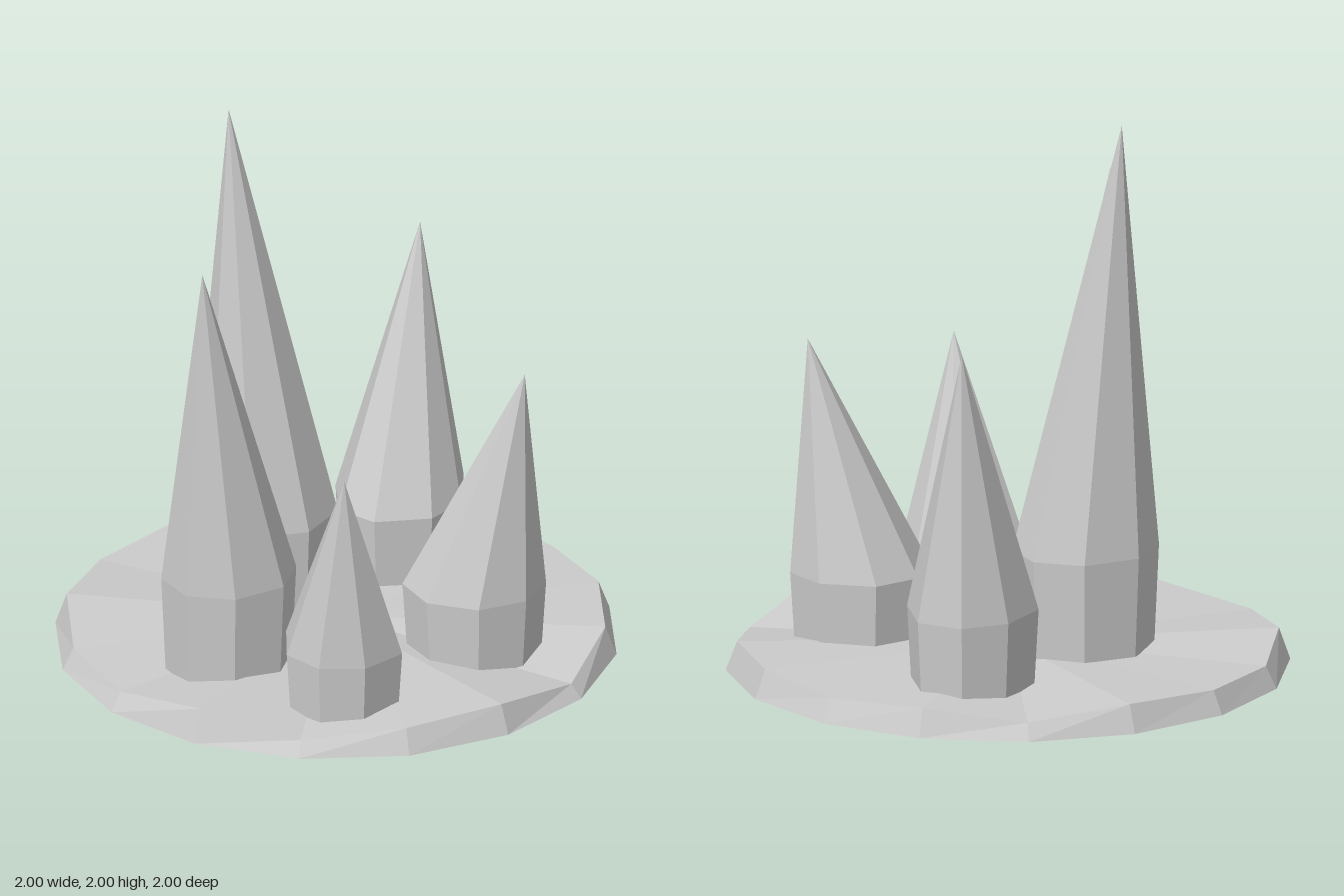
import * as THREE from 'three';

const material = new THREE.MeshStandardMaterial({ color: 0xcccccc, flatShading: true });

// Skin rings of [x, y, z] corners from bottom to top, closed by a tip and a flat underside.
function loft(name, rings, tip, bottom) {
  const pos = [];
  const tri = (...corners) => corners.forEach((c) => pos.push(...c));
  const n = rings[0].length;
  for (let i = 0; i < n; i++) {
    const j = (i + 1) % n;
    tri(rings[0][i], rings[0][j], bottom);
    for (let k = 0; k < rings.length - 1; k++) {
      const lo = rings[k], hi = rings[k + 1];
      tri(lo[i], hi[i], lo[j]);
      tri(hi[i], hi[j], lo[j]);
    }
    const top = rings[rings.length - 1];
    tri(top[i], tip, top[j]);
  }
  const geometry = new THREE.BufferGeometry();
  geometry.setAttribute('position', new THREE.Float32BufferAttribute(pos, 3));
  geometry.computeVertexNormals();
  const mesh = new THREE.Mesh(geometry, material);
  mesh.name = name;
  return mesh;
}

// Round slab with an uneven rim
function rockBase() {
  const rimHeights = [0.085, 0.105, 0.105, 0.05, 0.105, 0.09, 0.055, 0.12,
    0.07, 0.08, 0.115, 0.08, 0.085, 0.1, 0.06, 0.1];
  const ring = (r, height) => rimHeights.map((h, i) => {
    const a = (i / rimHeights.length) * Math.PI * 2;
    return [r * Math.cos(a), height(h), r * Math.sin(a)];
  });
  return loft('rockBase', [ring(1, () => 0), ring(0.96, (h) => h)], [0, 0.09, 0], [0, 0, 0]);
}

// Eight-sided spike: slightly narrower foot, widest at the shoulder, leaning tip
function crystal({ name, tip, shoulder, outline }) {
  const n = outline.length;
  const cx = outline.reduce((s, p) => s + p[0], 0) / n;
  const cz = outline.reduce((s, p) => s + p[1], 0) / n;
  const foot = 0.04;
  const ring = (y, s) => outline.map(([x, z]) => [cx + (x - cx) * s, y, cz + (z - cz) * s]);
  return loft(name, [ring(foot, 0.93), ring(shoulder, 1)], tip, [cx, foot, cz]);
}

// Shoulder outlines are [x, z] corners
const crystals = [
  { name: 'tallCrystal', tip: [-0.21, 2, -0.35], shoulder: 0.45,
    outline: [[-0.14, -0.49], [0.06, -0.41], [0.14, -0.24], [0.07, -0.08],
      [-0.12, 0], [-0.31, -0.08], [-0.38, -0.25], [-0.33, -0.42]] },
  { name: 'rightCrystal', tip: [-0.68, 1.66, 0.11], shoulder: 0.43,
    outline: [[-0.58, -0.17], [-0.4, -0.16], [-0.28, -0.02], [-0.3, 0.16],
      [-0.44, 0.27], [-0.64, 0.25], [-0.76, 0.12], [-0.74, -0.05]] },
  { name: 'frontRightCrystal', tip: [-0.47, 1, 0.66], shoulder: 0.28,
    outline: [[-0.46, 0.31], [-0.31, 0.3], [-0.19, 0.42], [-0.18, 0.58],
      [-0.25, 0.71], [-0.43, 0.73], [-0.56, 0.63], [-0.58, 0.47]] },
  { name: 'frontLeftCrystal', tip: [0.365, 1.16, 0.62], shoulder: 0.32,
    outline: [[0.22, 0.23], [0.4, 0.27], [0.5, 0.45], [0.46, 0.62],
      [0.31, 0.7], [0.13, 0.66], [0.02, 0.5], [0.05, 0.32]] },
  { name: 'leftCrystal', tip: [0.62, 1.33, -0.32], shoulder: 0.35,
    outline: [[0.53, -0.46], [0.69, -0.38], [0.73, -0.21], [0.58, -0.03],
      [0.42, 0.01], [0.24, -0.09], [0.2, -0.24], [0.32, -0.42]] },
];

export function createModel() {
  const model = new THREE.Group();
  model.name = 'crystalCluster';
  model.add(rockBase(), ...crystals.map(crystal));
  return model;
}
